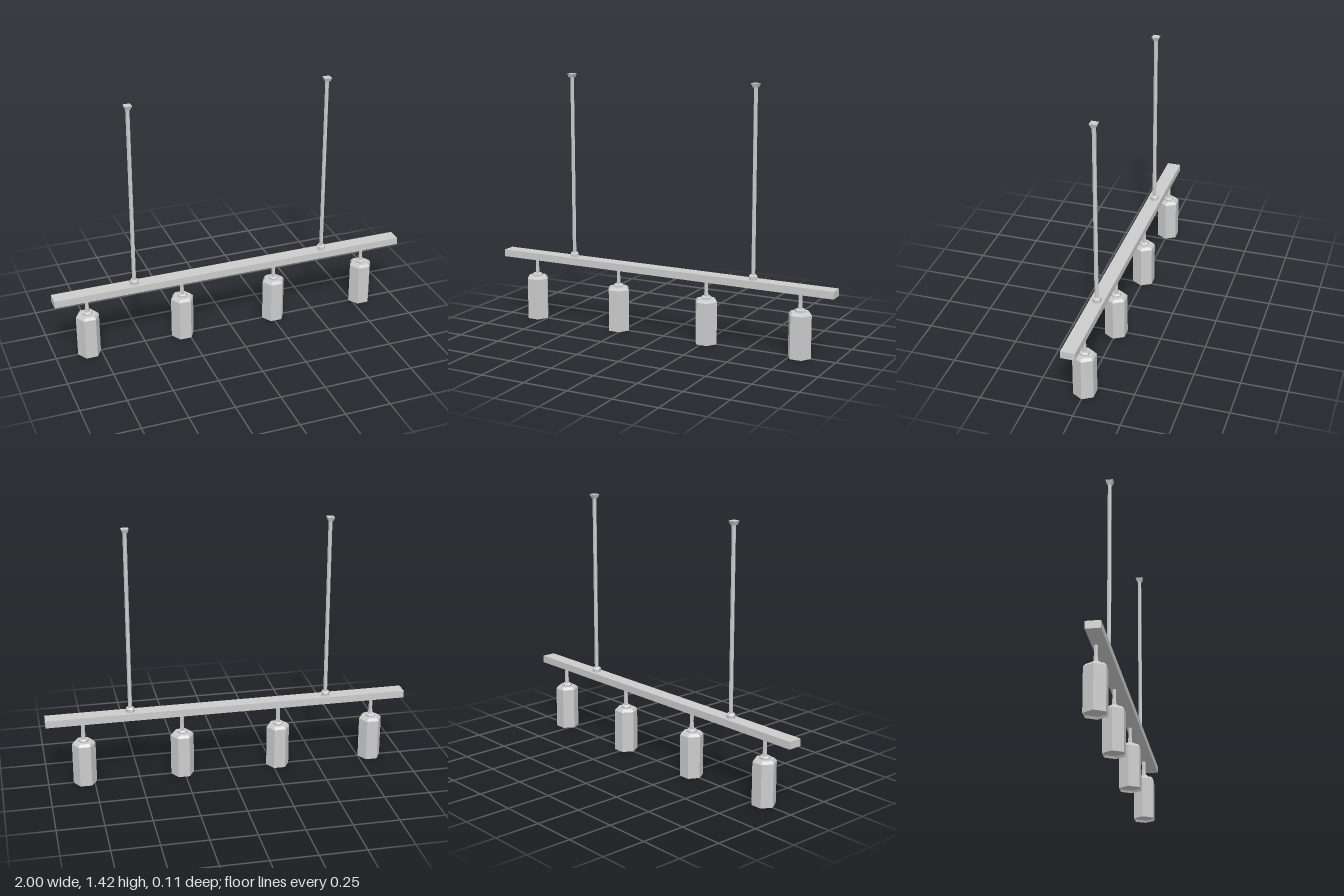
import * as THREE from 'three';

// Four-lamp hanging bar light with hexagonal shades.
export function createModel() {
  const group = new THREE.Group();
  const metal = new THREE.MeshStandardMaterial({ color: 0xcccccc });
  metal.name = 'greyMetal';
  metal.flatShading = true;

  const add = (parent, name, geometry, x, y, z) => {
    const mesh = new THREE.Mesh(geometry, metal);
    mesh.name = name;
    mesh.position.set(x, y, z);
    parent.add(mesh);
    return mesh;
  };
  // Six-sided turned part with corners pointing along x
  const hex = (profile) => new THREE.LatheGeometry(
    profile.map(([r, y]) => new THREE.Vector2(r, y)), 6, Math.PI / 6);

  // Rail
  const railZ = 0.0175;
  add(group, 'rail', new THREE.BoxGeometry(2, 0.04, 0.077), 0, 0.37, railZ);

  // Lamps hanging under the rail
  const shade = hex([[0, 0.012], [0.058, 0.012], [0.064, 0], [0.064, 0.233], [0.051, 0.247], [0, 0.247]]);
  const collar = hex([[0.029, 0.246], [0.029, 0.256], [0.023, 0.262], [0, 0.262]]);
  const stem = hex([[0.013, 0.26], [0.0105, 0.3], [0.0105, 0.351]]);
  [-0.815, -0.28, 0.26, 0.8].forEach((x) => {
    const lamp = new THREE.Group();
    lamp.name = 'lamp';
    lamp.position.x = x;
    add(lamp, 'shade', shade, 0, 0, 0);
    add(lamp, 'collar', collar, 0, 0, 0);
    add(lamp, 'stem', stem, 0, 0, 0);
    group.add(lamp);
  });

  // Suspension rods with a hexagonal foot and a flared square ceiling cap
  const foot = hex([[0.025, 0.389], [0.025, 0.408], [0.019, 0.416], [0, 0.416]]);
  const rod = hex([[0.011, 0.41], [0.011, 1.4]]);
  const cap = new THREE.CylinderGeometry(0.02 * Math.SQRT2, 0.012 * Math.SQRT2, 0.022, 4, 1, false, Math.PI / 4);
  [-0.553, 0.54].forEach((x) => {
    const hanger = new THREE.Group();
    hanger.name = 'hanger';
    hanger.position.set(x, 0, railZ);
    add(hanger, 'foot', foot, 0, 0, 0);
    add(hanger, 'rod', rod, 0, 0, 0);
    add(hanger, 'ceilingCap', cap, 0, 1.407, 0);
    group.add(hanger);
  });

  return group;
}
